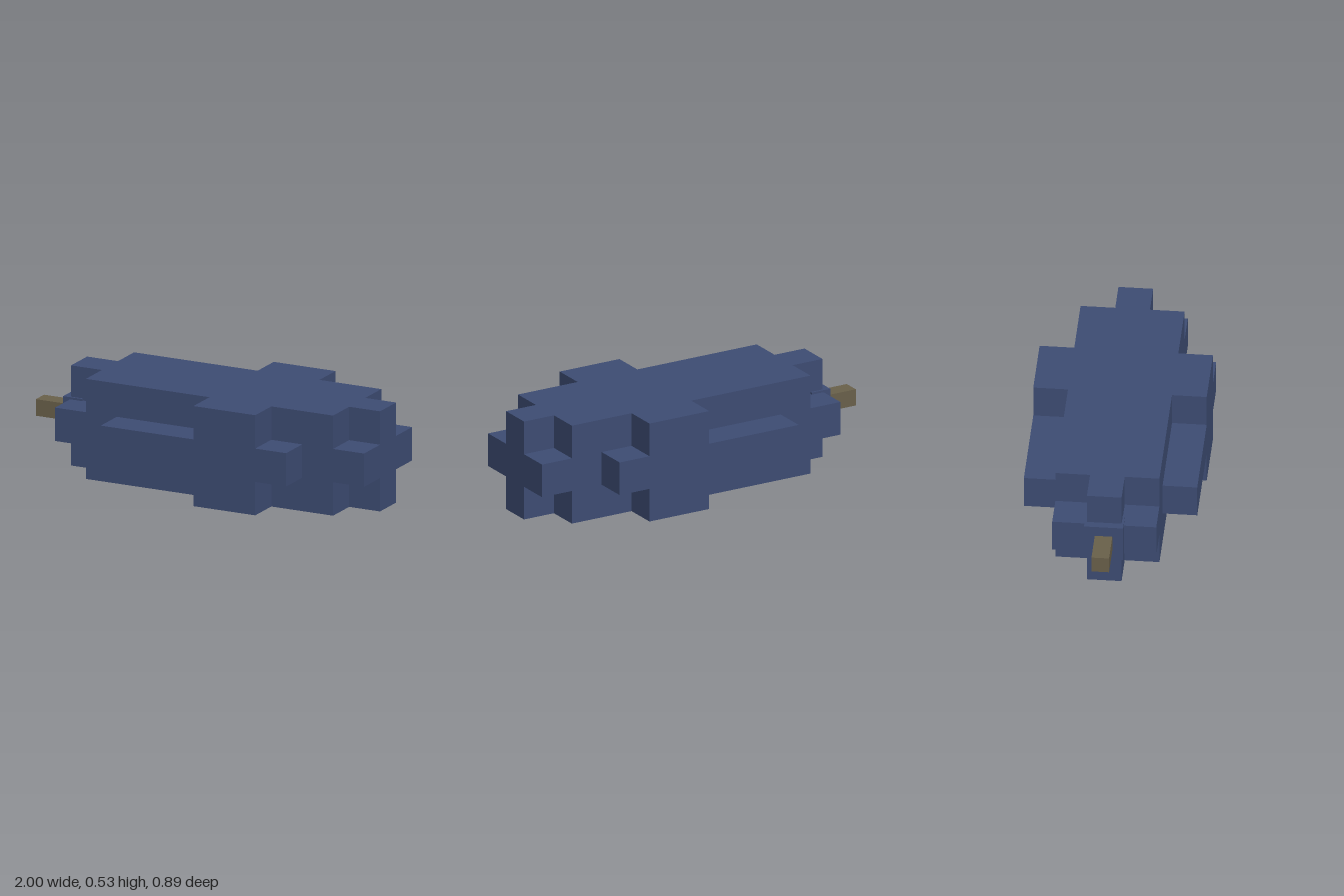
import * as THREE from 'three';

const U = 0.1775;   // one block
const X0 = -0.775;  // left end of the body

// Mirrored stepped outline from [start, end, half depth] spans, in blocks, widest reach first
function steppedShape(spans) {
  const near = [];
  spans.forEach(([a, b, d], i) => {
    near.push([b, i ? spans[i - 1][2] : 0], [b, d]);
  });
  const nearLeft = [];
  spans.forEach(([a, b, d], i) => {
    nearLeft.push([a, i ? spans[i - 1][2] : 0], [a, d]);
  });
  const half = [...near, ...nearLeft.reverse()];
  const far = [...half].reverse().map(([x, z]) => [x, -z]);
  const outline = [...half, ...far].filter(([, z]) => z !== 0);
  return new THREE.Shape(outline.map(([x, z]) => new THREE.Vector2(X0 + x * U, z * U)));
}

export function createModel() {
  const group = new THREE.Group();
  const blue = new THREE.MeshStandardMaterial({ color: 0x3d4c73 });
  blue.name = 'slate blue';
  const brown = new THREE.MeshStandardMaterial({ color: 0x69604a });
  brown.name = 'olive brown';

  const add = (name, geometry, material, x, y, z) => {
    const mesh = new THREE.Mesh(geometry, material);
    mesh.name = name;
    mesh.position.set(x, y, z);
    group.add(mesh);
  };

  // Body: three stacked layers, the top and bottom ones alike
  const capSpans = [[0, 10, 0.5], [1, 9, 1.5], [5, 7, 2.5]];
  const middleSpans = [[0, 10, 1.5], [2, 8, 2.5]];
  const layers = [['bodyBottom', capSpans], ['bodyMiddle', middleSpans], ['bodyTop', capSpans]];
  layers.forEach(([name, spans], i) => {
    const geometry = new THREE.ExtrudeGeometry(steppedShape(spans), { depth: U, bevelEnabled: false });
    geometry.rotateX(-Math.PI / 2);
    add(name, geometry, blue, 0, i * U, 0);
  });

  // Collar and stem on the left end
  const mid = 1.5 * U;
  add('collar', new THREE.BoxGeometry(0.11, 0.2, 0.2), blue, -0.76, mid, 0);
  add('stem', new THREE.BoxGeometry(0.185, 0.088, 0.09), brown, -0.9075, mid, 0);
  return group;
}
